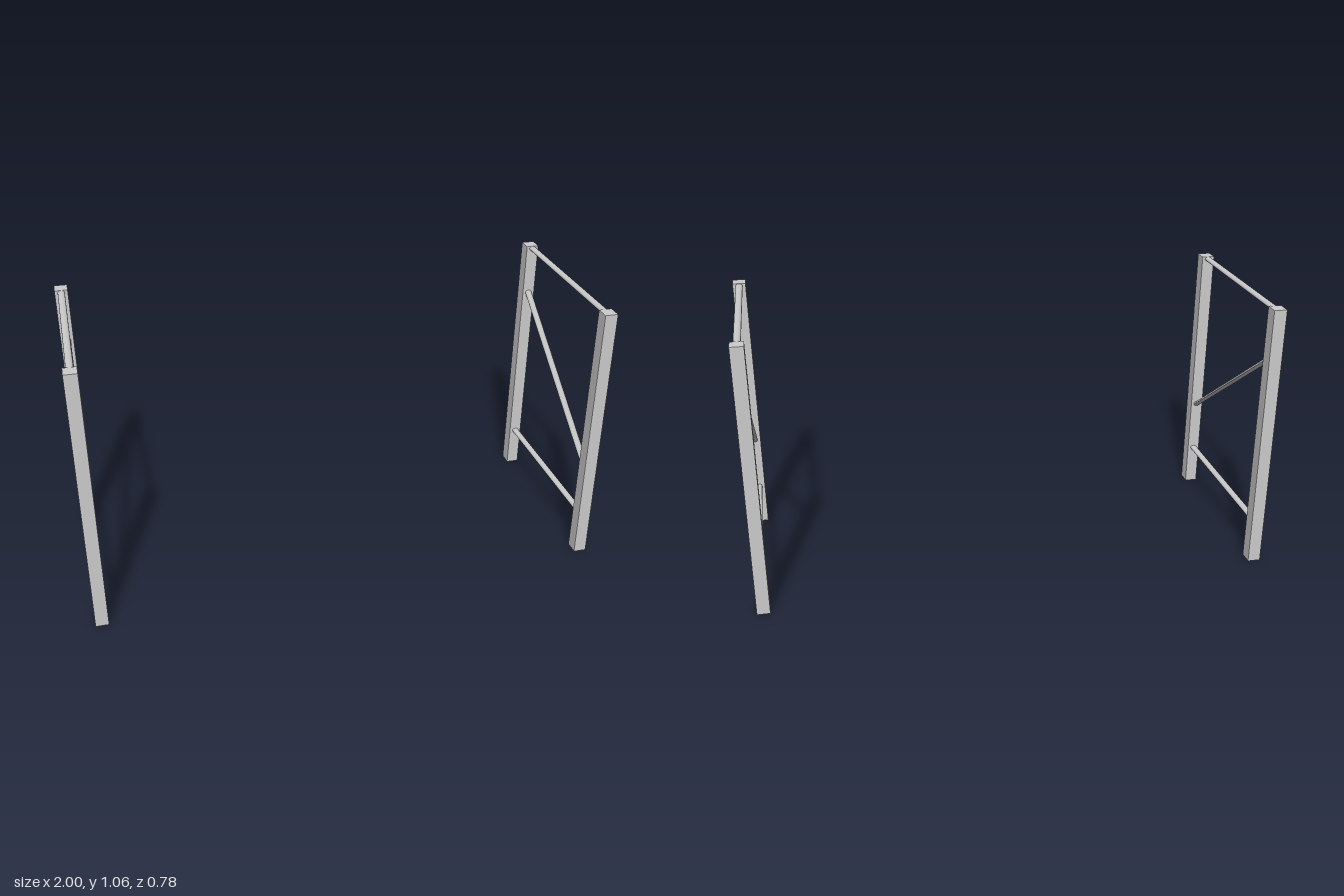
import * as THREE from 'three';

const HEIGHT = 1.063, POST_W = 0.05, POST_D = 0.054;
const POST_X = 0.975, POST_Z = 0.364;
const SPAN = 2 * (POST_Z - POST_D / 2);

const material = new THREE.MeshStandardMaterial({ color: 0xcccccc });
const shell = new THREE.MeshStandardMaterial({ color: 0xcccccc, side: THREE.DoubleSide });

// Thin-walled square post: capped on top, open underneath
function makePost(name, z) {
  const geo = new THREE.BoxGeometry(POST_W, HEIGHT, POST_D);
  const index = Array.from(geo.index.array);
  index.splice(geo.groups[3].start, geo.groups[3].count); // drop the bottom face
  geo.setIndex(index);
  geo.clearGroups();
  const post = new THREE.Mesh(geo, shell);
  post.name = name;
  post.position.set(0, HEIGHT / 2, z);
  return post;
}

// Flattened round rail along z; a slope shears it so its ends stay flush with the posts
function makeRail(name, yFront, yBack, halfHeight) {
  const geo = new THREE.CylinderGeometry(1, 1, SPAN, 24);
  geo.rotateX(Math.PI / 2);
  geo.scale(0.0135, halfHeight, 1);
  const slope = (yFront - yBack) / SPAN;
  const pos = geo.attributes.position;
  for (let i = 0; i < pos.count; i++) pos.setY(i, pos.getY(i) + slope * pos.getZ(i));
  geo.computeBoundingSphere();
  const rail = new THREE.Mesh(geo, material);
  rail.name = name;
  rail.position.y = (yFront + yBack) / 2;
  return rail;
}

export function createModel() {
  const model = new THREE.Group();
  model.name = 'sideFrames';
  for (const [name, side] of [['leftFrame', 1], ['rightFrame', -1]]) {
    const frame = new THREE.Group();
    frame.name = name;
    frame.position.x = side * POST_X;
    frame.add(
      makePost('frontPost', POST_Z),
      makePost('backPost', -POST_Z),
      makeRail('topRail', 1.053, 1.053, 0.009),
      makeRail('bottomRail', 0.168, 0.168, 0.009),
      makeRail('diagonalBrace', 0.385, 0.854, 0.0105)
    );
    model.add(frame);
  }
  return model;
}
